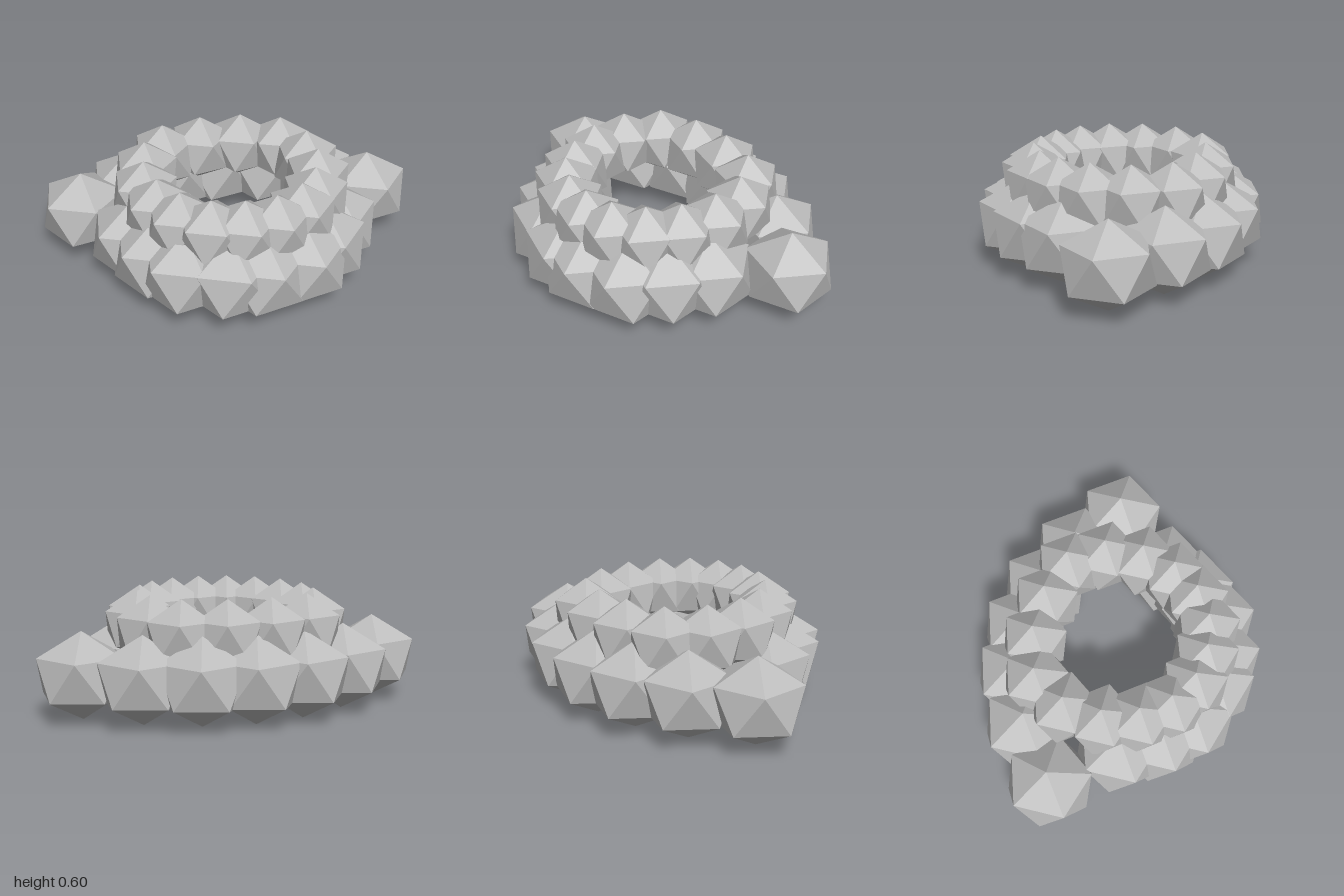
import * as THREE from 'three';

// Icosahedron standing on a corner, with one upper corner pointing to +x
function cornerStone(radius, squash) {
  const geo = new THREE.IcosahedronGeometry(radius, 0);
  geo.rotateZ(-Math.atan(2 / (1 + Math.sqrt(5))));
  geo.scale(1, squash, 1);
  return geo;
}

export function createModel() {
  const model = new THREE.Group();
  const grey = new THREE.MeshStandardMaterial({ color: 0xbcbcbc, flatShading: true });
  grey.name = 'stone grey';

  // Places one stone per [x, z] centre and mirrors it to the other side
  function addRow(name, geo, y, centres) {
    const row = new THREE.Group();
    row.name = name;
    for (const [x, z] of centres) {
      for (const side of x === 0 ? [1] : [1, -1]) {
        const stone = new THREE.Mesh(geo, grey);
        stone.name = name + 'Stone';
        stone.position.set(x * side, y, z);
        row.add(stone);
      }
    }
    model.add(row);
  }

  const large = cornerStone(0.246, 0.9);
  const small = cornerStone(0.188, 1);

  // Lower back row: a shallow parabola ending in the two outer stones
  const backArc = [0, 0.26, 0.52, 0.78].map((x) => [x, -0.525 + 0.57 * x * x]);
  addRow('lowerBack', large, 0.221, backArc);

  // Lower front row: half ring
  addRow('lowerFront', large, 0.221, [[0.08, 0.52], [0.29, 0.45], [0.42, 0.31], [0.525, 0.127]]);

  // Upper ring of smaller stones
  addRow('upperFront', small, 0.414, [[0, 0.455], [0.16, 0.43], [0.3, 0.34], [0.4, 0.2]]);
  addRow('upperBack', small, 0.414, [[0.453, 0.02], [0.435, -0.18], [0.325, -0.355], [0.112, -0.42]]);

  return model;
}
